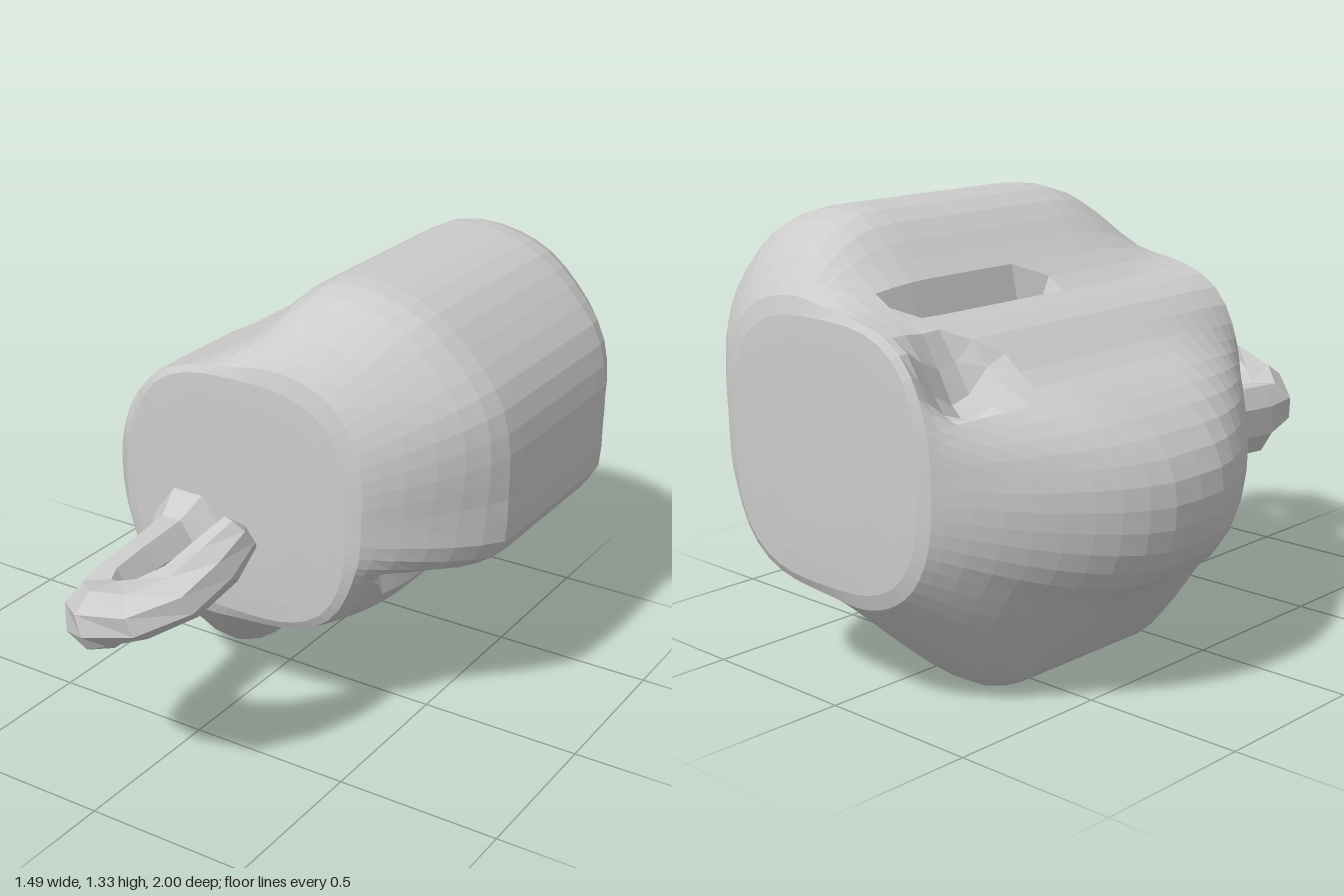
import * as THREE from 'three';

const material = new THREE.MeshStandardMaterial({ color: 0xcccccc, flatShading: true });

// Closed body outline, counter-clockwise in x, y
const OUTLINE = [
  [-0.25, 0], [-0.17, 0.005], [-0.08, 0.06], [0, 0.13], [0.15, 0.23], [0.28, 0.27], [0.38, 0.35],
  [0.46, 0.45], [0.55, 0.5], [0.66, 0.53], [0.73, 0.6], [0.74, 0.76], [0.73, 0.94], [0.69, 1.06],
  [0.59, 1.18], [0.48, 1.27], [0.38, 1.31], [0.25, 1.33], [0.14, 1.31], [0.05, 1.24], [-0.02, 1.17],
  [-0.14, 1.08], [-0.27, 1.03], [-0.4, 0.93], [-0.55, 0.86], [-0.66, 0.78], [-0.73, 0.68],
  [-0.745, 0.58], [-0.72, 0.46], [-0.66, 0.37], [-0.58, 0.31], [-0.45, 0.16], [-0.33, 0.04],
];
const CX = 0.03, CY = 0.71, ZC = -0.33, HALF = 0.67;

// Closed rings joined by quads
function skin(rings) {
  const n = rings[0].length, pos = rings.flat().flatMap((p) => [p.x, p.y, p.z]), index = [];
  for (let i = 0; i < rings.length - 1; i++) {
    for (let j = 0; j < n; j++) {
      const a = i * n + j, b = i * n + (j + 1) % n, c = b + n, d = a + n;
      index.push(a, b, c, a, c, d);
    }
  }
  const g = new THREE.BufferGeometry();
  g.setAttribute('position', new THREE.Float32BufferAttribute(pos, 3));
  g.setIndex(index);
  g.computeVertexNormals();
  return g;
}

// Carved slots and the pit
function carve(v) {
  if (Math.abs(v.x + 0.09) < 0.036 && v.y > 0.85 && v.z > -0.82 && v.z < -0.28) v.y -= 0.2;
  if (Math.hypot(v.x - 0.48, v.y - 0.47) < 0.045 && v.z > -0.25 && v.z < 0.2) {
    v.x -= 0.05;
    v.y += 0.05;
  }
  const d = Math.hypot(v.x + 0.29, v.y - 0.93, v.z + 0.83);
  if (d < 0.15) v.add(new THREE.Vector3(0.06, -0.2, 0.06).multiplyScalar(1 - d / 0.15));
  return v;
}

function bodyGeometry() {
  const curve = new THREE.CatmullRomCurve3(OUTLINE.map(([x, y]) => new THREE.Vector3(x, y, 0)), true);
  const section = curve.getSpacedPoints(64).slice(0, 64);
  const half = [0.15, 0.27, 0.38, 0.48, 0.58, 0.68, 0.77, 0.86, 0.93, 0.97];
  const levels = [...half.slice().reverse().map((t) => -t), 0, ...half];
  // The lumpy middle section melts into a rounded square at each end
  const ring = (t) => section.map((p) => {
    const dx = p.x - CX, dy = p.y - CY, r = Math.hypot(dx, dy);
    const end = 0.39 / (Math.abs(dx / r) ** 3 + Math.abs(dy / r) ** 3) ** (1 / 3);
    const left = (Math.max(0, -dx) / 0.78) ** 2;
    const start = 0.45 - 0.37 * left;
    const power = 1.4 + 0.25 * left + 1.1 * Math.max(0, dy) / 0.63;
    const u = Math.max(0, (Math.abs(t) - start) / (1 - start));
    const s = THREE.MathUtils.lerp(1, end / r, u ** power);
    return carve(new THREE.Vector3(CX + dx * s, CY + dy * s, ZC + HALF * t));
  });
  // Softly rounded end faces, closed to a point in the middle
  const cap = (side, scale) => ring(side).map((p) => new THREE.Vector3(
    CX + (p.x - CX) * scale, CY + (p.y - CY) * scale, ZC + HALF * side * (1 - 0.012 * scale ** 4)));
  return skin([
    ...[0, 0.5, 0.8, 0.95].map((s) => cap(-1, s)),
    ...levels.map(ring),
    ...[0.95, 0.8, 0.5, 0].map((s) => cap(1, s)),
  ]);
}

// Hooked stem: centre, then side and height radii
function stemGeometry() {
  const stations = [
    [-0.14, 0.53, 0.24, 0.18, 0.22], [-0.14, 0.53, 0.34, 0.13, 0.17], [-0.14, 0.52, 0.42, 0.085, 0.13],
    [-0.13, 0.52, 0.6, 0.068, 0.12], [-0.125, 0.51, 0.74, 0.07, 0.12], [-0.09, 0.52, 0.83, 0.1, 0.105],
    [0.0, 0.575, 0.885, 0.12, 0.085], [0.11, 0.625, 0.89, 0.12, 0.075], [0.19, 0.67, 0.82, 0.09, 0.08],
    [0.25, 0.745, 0.74, 0.065, 0.085], [0.28, 0.81, 0.67, 0.045, 0.07], [0.28, 0.82, 0.65, 0, 0],
  ];
  const pts = stations.map((s) => new THREE.Vector3(s[0], s[1], s[2]));
  const up = new THREE.Vector3(0, 1, 0);
  return skin(stations.map((s, i) => {
    const tangent = pts[Math.min(i + 1, pts.length - 1)].clone().sub(pts[Math.max(i - 1, 0)]).normalize();
    const side = up.clone().cross(tangent).normalize();
    const top = tangent.clone().cross(side);
    return Array.from({ length: 8 }, (_, j) => {
      const a = (j + 0.5) / 8 * Math.PI * 2;
      return pts[i].clone().addScaledVector(side, s[3] * Math.cos(a)).addScaledVector(top, s[4] * Math.sin(a));
    });
  }));
}

export function createModel() {
  const group = new THREE.Group();
  for (const [name, geometry] of [['body', bodyGeometry()], ['hookedStem', stemGeometry()]]) {
    const mesh = new THREE.Mesh(geometry, material);
    mesh.name = name;
    group.add(mesh);
  }
  return group;
}
